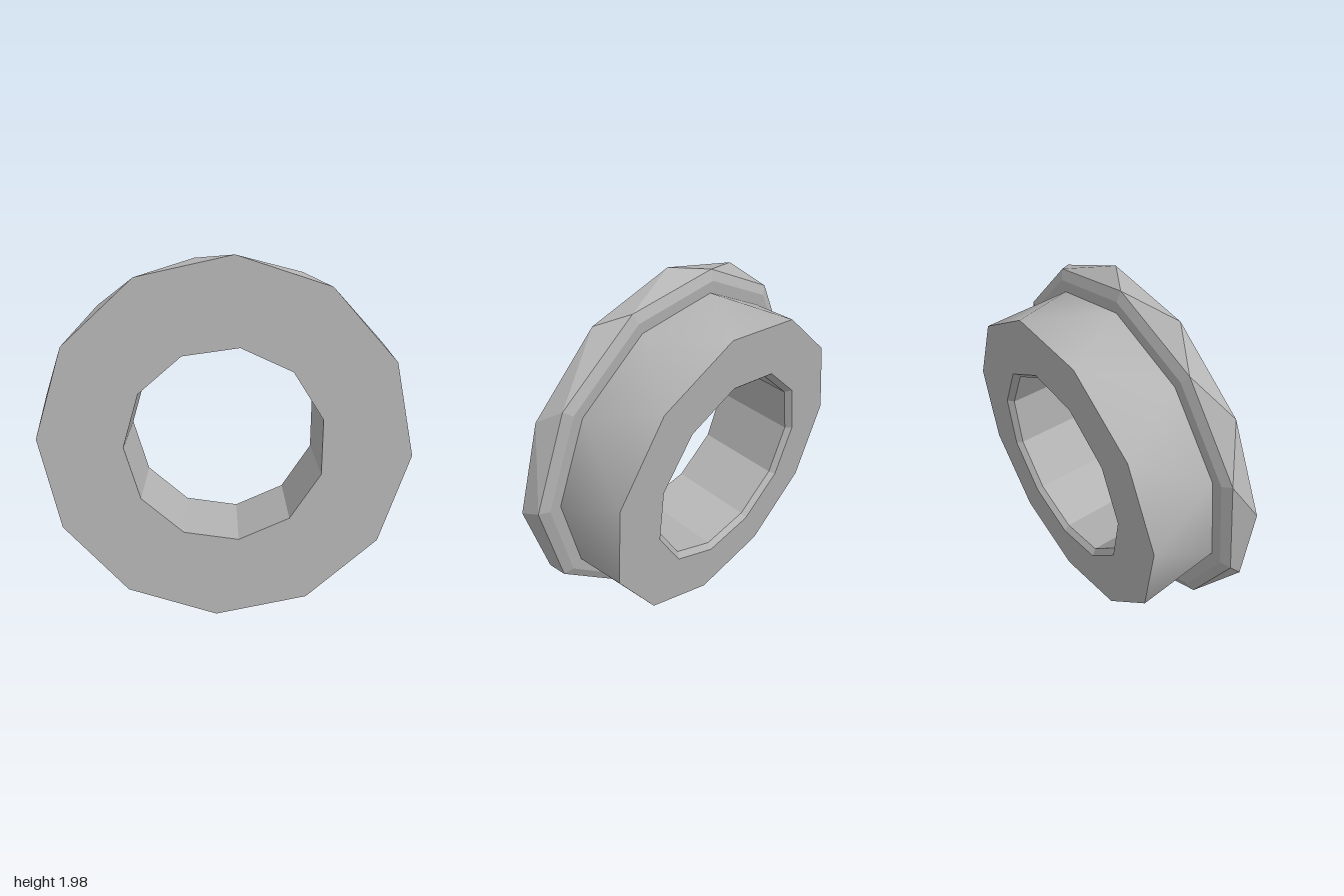
import * as THREE from 'three';

// Regular polygon ring: sides, radius, depth behind the front face, start angle in degrees
function ring(sides, radius, depth, phase) {
  const pts = [];
  for (let i = 0; i <= sides; i++) {
    const angle = (phase * Math.PI) / 180 + ((i % sides) * 2 * Math.PI) / sides;
    pts.push(new THREE.Vector3(radius * Math.cos(angle), radius * Math.sin(angle), -depth));
  }
  return { pts, sides, angleAt: (i) => phase + (i * 360) / sides };
}

// Joins two rings with triangles, stepping round whichever ring lags in angle
function bridge(a, b, smooth) {
  const verts = [...a.pts.slice(0, a.sides), ...b.pts.slice(0, b.sides)];
  const index = [];
  let i = 0, j = 0;
  while (i < a.sides || j < b.sides) {
    const stepA = j >= b.sides || (i < a.sides && a.angleAt(i + 1) <= b.angleAt(j + 1));
    const ai = i % a.sides, bj = a.sides + (j % b.sides);
    if (stepA) index.push(ai, bj, ++i % a.sides);
    else index.push(ai, bj, a.sides + (++j % b.sides));
  }
  let geo = new THREE.BufferGeometry().setFromPoints(verts);
  geo.setIndex(index);
  if (!smooth) geo = geo.toNonIndexed();
  geo.computeVertexNormals();
  return geo;
}

export function createModel() {
  const grey = new THREE.MeshStandardMaterial({ color: 0xb4b4b4 });
  grey.name = 'grey';

  const model = new THREE.Group();
  model.name = 'flangedRing';
  const body = new THREE.Group();
  body.name = 'tiltedBody';
  model.add(body);

  // Closed cross-section, from the front hole edge outwards and round to the bore
  const holeFront = ring(11, 0.54, 0, 16);
  const flangeFront = ring(12, 1.0, 0, -3);
  const flangeRim = ring(11, 0.988, 0.115, 0.6);
  const flangeBack = ring(11, 0.935, 0.14, 0.6);
  const barrelFront = ring(11, 0.87, 0.14, 0.6);
  const barrelBack = ring(11, 0.87, 0.525, 14.5);
  const holeBack = ring(11, 0.57, 0.525, 16);
  const holeInner = ring(11, 0.54, 0.495, 16);

  const parts = [
    ['frontFace', holeFront, flangeFront, false],
    ['flangeRim', flangeFront, flangeRim, false],
    ['flangeBevel', flangeRim, flangeBack, false],
    ['flangeBackFace', flangeBack, barrelFront, false],
    ['barrel', barrelFront, barrelBack, true],
    ['backFace', barrelBack, holeBack, false],
    ['boreBevel', holeBack, holeInner, false],
    ['bore', holeInner, holeFront, false],
  ];
  for (const [name, a, b, smooth] of parts) {
    const mesh = new THREE.Mesh(bridge(a, b, smooth), grey);
    mesh.name = name;
    body.add(mesh);
  }

  // Lean the axis slightly up and to one side
  const axis = new THREE.Vector3(-0.07, 0.122, 1).normalize();
  body.quaternion.setFromUnitVectors(new THREE.Vector3(0, 0, 1), axis);

  // Centre and stand on the ground
  body.updateMatrixWorld(true);
  const box = new THREE.Box3().setFromObject(body, true);
  const mid = box.getCenter(new THREE.Vector3());
  body.position.set(-mid.x, -box.min.y, -mid.z);
  return model;
}
